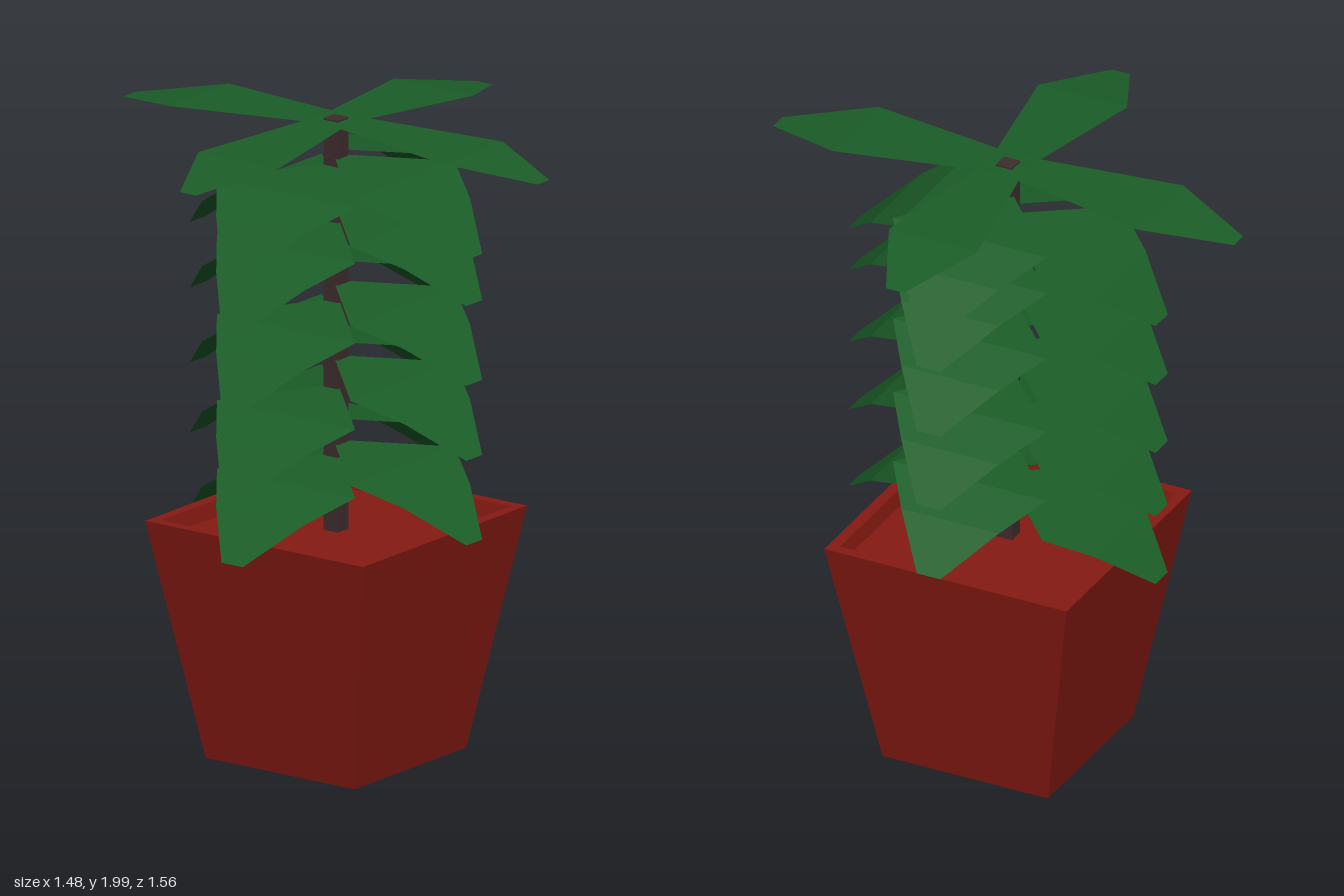
import * as THREE from 'three';

const material = (color, side = THREE.FrontSide) =>
  new THREE.MeshStandardMaterial({ color, flatShading: true, side });

// Thin leaf pointing along +z from rows of [distance, half width, height]
function leafGeometry(rows) {
  const positions = [], index = [];
  rows.forEach(([r, w, y], i) => {
    positions.push(-w, y, r, w, y, r);
    if (i > 0) {
      const a = 2 * i - 2;
      index.push(a, a + 2, a + 1, a + 1, a + 2, a + 3);
    }
  });
  const geometry = new THREE.BufferGeometry();
  geometry.setAttribute('position', new THREE.Float32BufferAttribute(positions, 3));
  geometry.setIndex(index);
  geometry.computeVertexNormals();
  return geometry;
}

export function createModel() {
  const model = new THREE.Group();
  model.name = 'pottedPlant';
  const green = material(0x1b5e28, THREE.DoubleSide);

  const add = (name, geometry, mat, parent = model) => {
    const mesh = new THREE.Mesh(geometry, mat);
    mesh.name = name;
    parent.add(mesh);
    return mesh;
  };

  // Square tapered pot with a rim and a recessed floor
  const profile = [[0, 0], [0.28, 0], [0.41, 0.75], [0.375, 0.75], [0.366, 0.7], [0, 0.7]]
    .map(([half, y]) => new THREE.Vector2(half * Math.SQRT2, y));
  add('pot', new THREE.LatheGeometry(profile, 4, Math.PI / 4), material(0x851a12));

  // Square stem
  add('stem', new THREE.BoxGeometry(0.054, 1.31, 0.054), material(0x3e2c2c))
    .position.y = 1.335;

  // Drooping leaves: heights of the tips on each side of the stem
  const droopingLeaf = leafGeometry([
    [0.02, 0.03, 0.225], [0.25, 0.26, 0.192], [0.38, 0.165, 0.12], [0.52, 0.04, 0],
  ]);
  const sides = [
    ['front', 0, [0.75, 1.015, 1.25, 1.5, 1.645]],
    ['left', 1, [0.82, 1.06, 1.315, 1.54, 1.665]],
    ['back', 2, [0.685, 0.92, 1.14, 1.375, 1.58]],
    ['right', 3, [0.71, 0.925, 1.195, 1.445, 1.62]],
  ];
  for (const [side, turn, tips] of sides) {
    const branch = new THREE.Group();
    branch.name = side + 'Leaves';
    branch.rotation.y = turn * Math.PI / 2;
    model.add(branch);
    for (const y of tips) add('droopingLeaf', droopingLeaf, green, branch).position.y = y;

    // Long crown leaf, a little shorter to the sides
    const scale = turn % 2 ? 0.95 : 1;
    add('crownLeaf', leafGeometry([
      [0, 0.06, 1.985], [0.515 * scale, 0.15, 1.97], [0.78 * scale, 0.03, 1.925],
    ]), green, branch);
  }
  return model;
}
